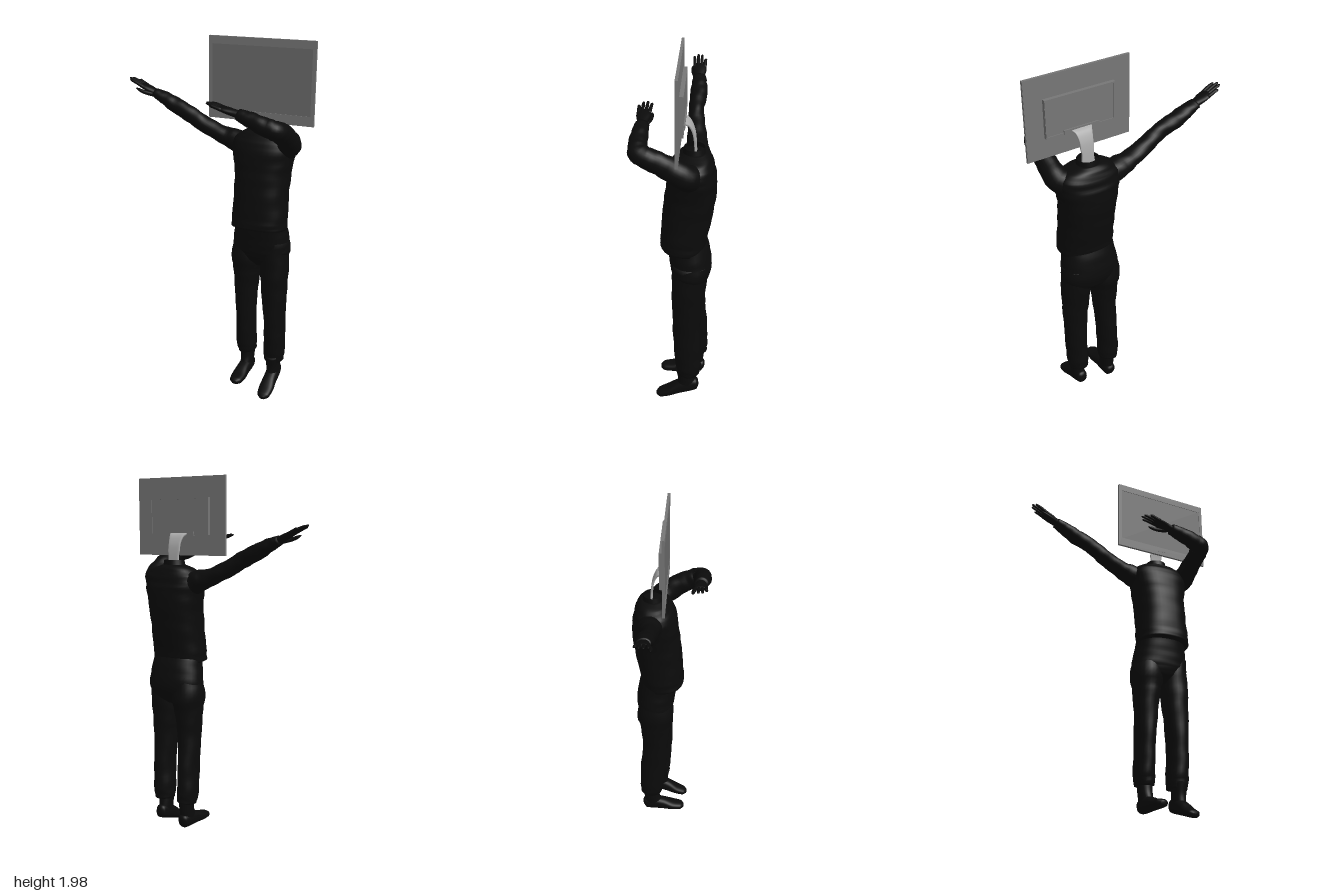
import * as THREE from 'three';

const mat = (color) => new THREE.MeshStandardMaterial({ color, roughness: 0.8 });
const V = (x, y, z) => new THREE.Vector3(x, y, z);
const UP = V(0, 1, 0), FRONT = V(0, 0, 1);

// Smooth solid through sections [x, y, z, halfWidth, halfDepth]; ref steers halfDepth,
// square < 1 makes the cross-section boxier, fold adds soft cloth creases.
function loft(sections, { ref = UP, sides = 28, steps = 6, square = 1, fold = 0 } = {}) {
  const path = new THREE.CatmullRomCurve3(sections.map((s) => V(s[0], s[1], s[2])));
  const radii = new THREE.CatmullRomCurve3(sections.map((s) => V(s[3], s[4], 0)));
  const rings = (sections.length - 1) * steps;
  const pos = [], index = [];
  const bend = (v) => Math.sign(v) * Math.abs(v) ** square;
  for (let i = 0; i <= rings; i++) {
    const u = i / rings;
    const c = path.getPoint(u), r = radii.getPoint(u), t = path.getTangent(u);
    const side = ref.clone().cross(t).normalize();
    const depth = t.clone().cross(side);
    for (let j = 0; j < sides; j++) {
      const a = (j / sides) * Math.PI * 2;
      const k = 1 + fold * Math.sin(i * 1.25 + 1.6 * Math.sin(a + 0.7)) * Math.sin(a * 2 + i * 0.3);
      const p = c.clone()
        .addScaledVector(side, bend(Math.cos(a)) * r.x * k)
        .addScaledVector(depth, bend(Math.sin(a)) * r.y * k);
      pos.push(p.x, p.y, p.z);
      if (i < rings) {
        const n = (j + 1) % sides, b = i * sides;
        index.push(b + j, b + n, b + sides + n, b + j, b + sides + n, b + sides + j);
      }
    }
  }
  // end caps
  const first = path.getPoint(0), last = path.getPoint(1), m = pos.length / 3;
  pos.push(first.x, first.y, first.z, last.x, last.y, last.z);
  for (let j = 0; j < sides; j++) {
    const n = (j + 1) % sides, b = rings * sides;
    index.push(m, n, j, m + 1, b + j, b + n);
  }
  const g = new THREE.BufferGeometry();
  g.setAttribute('position', new THREE.Float32BufferAttribute(pos, 3));
  g.setIndex(index);
  g.computeVertexNormals();
  return g;
}

export function createModel() {
  const model = new THREE.Group();
  const cloth = mat(0x0b0b0b), skin = mat(0x0b0b0b);
  const casing = mat(0x777777), glass = mat(0x6c6c6c), metal = mat(0xaaaaaa);

  const add = (name, geometry, material, parent = model) => {
    const mesh = new THREE.Mesh(geometry, material);
    mesh.name = name;
    parent.add(mesh);
    return mesh;
  };
  const box = (name, w, h, d, x, y, z, material, parent) =>
    add(name, new THREE.BoxGeometry(w, h, d), material, parent).position.set(x, y, z);

  // jacket
  add('jacket', loft([
    [0.257, 1.0, -0.045, 0.15, 0.118], [0.257, 1.06, -0.052, 0.15, 0.12],
    [0.257, 1.2, -0.07, 0.145, 0.128], [0.257, 1.32, -0.086, 0.152, 0.128],
    [0.257, 1.42, -0.092, 0.17, 0.12], [0.257, 1.475, -0.1, 0.165, 0.1],
    [0.256, 1.51, -0.103, 0.12, 0.08], [0.256, 1.53, -0.103, 0.06, 0.055],
  ], { ref: FRONT, sides: 40, square: 0.85, fold: 0.014 }), cloth);
  const collar = add('collar', new THREE.CylinderGeometry(0.056, 0.066, 0.05, 32, 1, true),
    new THREE.MeshStandardMaterial({ color: 0x0b0b0b, roughness: 0.8, side: THREE.DoubleSide }));
  collar.position.set(0.256, 1.53, -0.1);
  collar.scale.z = 0.92;

  // trousers
  add('trouserSeat', loft([
    [0.257, 1.04, -0.06, 0.138, 0.1], [0.257, 0.95, -0.08, 0.152, 0.108],
    [0.257, 0.87, -0.09, 0.162, 0.108], [0.259, 0.81, -0.088, 0.145, 0.09],
    [0.26, 0.77, -0.085, 0.09, 0.05],
  ], { ref: FRONT, sides: 36, square: 0.9, fold: 0.01 }), cloth);
  add('rightTrouserLeg', loft([
    [0.18, 0.92, -0.09, 0.078, 0.09], [0.175, 0.75, -0.09, 0.078, 0.09],
    [0.17, 0.6, -0.09, 0.063, 0.075], [0.167, 0.4, -0.105, 0.054, 0.075],
    [0.167, 0.26, -0.115, 0.057, 0.07], [0.172, 0.205, -0.12, 0.052, 0.062],
  ], { ref: FRONT, fold: 0.03 }), cloth);
  add('leftTrouserLeg', loft([
    [0.335, 0.92, -0.085, 0.078, 0.09], [0.34, 0.75, -0.076, 0.078, 0.085],
    [0.345, 0.6, -0.07, 0.069, 0.075], [0.352, 0.4, -0.075, 0.058, 0.073],
    [0.35, 0.26, -0.082, 0.06, 0.07], [0.348, 0.195, -0.085, 0.055, 0.06],
  ], { ref: FRONT, fold: 0.03 }), cloth);

  // shoes, modelled with the sole on y = 0 and the heel at z = 0
  const shoe = (name, x, y, z, pitch) => {
    const foot = new THREE.Group();
    foot.name = name;
    foot.position.set(x, y, z);
    foot.rotation.x = pitch;
    add('shoeUpper', loft([
      [0, 0.035, 0, 0.014, 0.018], [0, 0.038, 0.012, 0.03, 0.036], [0, 0.042, 0.06, 0.036, 0.042],
      [0, 0.036, 0.12, 0.037, 0.036], [0, 0.025, 0.18, 0.041, 0.025],
      [0, 0.02, 0.23, 0.034, 0.02], [0, 0.018, 0.25, 0.014, 0.01],
    ], { square: 0.8 }), cloth, foot);
    add('ankle', loft([
      [0, 0.17, 0.045, 0.043, 0.047], [0, 0.1, 0.052, 0.038, 0.047], [0, 0.04, 0.065, 0.034, 0.055],
    ], { ref: FRONT }), cloth, foot);
    model.add(foot);
  };
  shoe('rightShoe', 0.174, 0.06, -0.168, 0);
  shoe('leftShoe', 0.35, 0.084, -0.15, 0.29);

  // sleeves
  add('rightSleeve', loft([
    [0.17, 1.42, -0.105, 0.068, 0.068], [0.09, 1.445, -0.108, 0.063, 0.06],
    [0.01, 1.47, -0.105, 0.053, 0.046], [-0.1, 1.52, -0.096, 0.046, 0.044],
    [-0.18, 1.565, -0.092, 0.04, 0.044], [-0.27, 1.605, -0.1, 0.046, 0.042],
    [-0.34, 1.64, -0.101, 0.042, 0.034], [-0.395, 1.663, -0.1, 0.035, 0.025],
  ], { fold: 0.045 }), cloth);
  add('leftSleeve', loft([
    [0.35, 1.43, -0.115, 0.06, 0.07], [0.405, 1.465, -0.06, 0.064, 0.065],
    [0.42, 1.525, 0.03, 0.05, 0.058], [0.42, 1.562, 0.105, 0.05, 0.054],
    [0.408, 1.583, 0.152, 0.054, 0.05], [0.36, 1.6, 0.165, 0.047, 0.047],
    [0.28, 1.628, 0.162, 0.042, 0.04], [0.215, 1.647, 0.157, 0.035, 0.03],
  ], { fold: 0.045 }), cloth);

  // hands held palm down; thumb is the z side it grows on
  const hand = (name, wrist, tip, thumb) => {
    const group = new THREE.Group();
    group.name = name;
    const at = (f, y, z, a, b) => {
      const p = wrist.clone().lerp(tip, f);
      return [p.x, p.y + y, p.z + z, a, b];
    };
    add('palm', loft([
      at(-0.1, 0, 0, 0.024, 0.02), at(0.15, 0, 0, 0.028, 0.019), at(0.4, 0, 0, 0.037, 0.016),
      at(0.56, 0, 0, 0.034, 0.012), at(0.6, 0, 0, 0.022, 0.006),
    ]), skin, group);
    [0.92, 1, 0.97, 0.82].forEach((reach, i) => {
      const z = thumb * (0.028 - i * 0.019);
      add('finger', loft([
        at(0.48, 0, z * 0.92, 0.01, 0.01), at(0.75, 0.002, z * 1.05, 0.0085, 0.0085),
        at(reach - 0.04, 0, z * 1.12, 0.007, 0.006), at(reach, 0, z * 1.12, 0.003, 0.002),
      ], { sides: 10, steps: 4 }), skin, group);
    });
    add('thumb', loft([
      at(0.12, -0.008, thumb * 0.016, 0.013, 0.013), at(0.4, -0.02, thumb * 0.034, 0.011, 0.011),
      at(0.6, -0.024, thumb * 0.038, 0.009, 0.008), at(0.69, -0.024, thumb * 0.038, 0.003, 0.003),
    ], { sides: 10, steps: 4 }), skin, group);
    model.add(group);
  };
  hand('rightHand', V(-0.37, 1.653, -0.1), V(-0.547, 1.737, -0.098), 1);
  hand('leftHand', V(0.22, 1.646, 0.157), V(0.035, 1.692, 0.153), -1);

  // flat display in place of a head
  const display = new THREE.Group();
  display.name = 'displayHead';
  model.add(display);
  const rect = (target, x0, y0, x1, y1) => {
    target.moveTo(x0, y0).lineTo(x1, y0).lineTo(x1, y1).lineTo(x0, y1).closePath();
    return target;
  };
  const frame = rect(new THREE.Shape(), -0.031, 1.578, 0.545, 2.0);
  frame.holes.push(rect(new THREE.Path(), -0.012, 1.628, 0.526, 1.96));
  add('bezel', new THREE.ExtrudeGeometry(frame, { depth: 0.012, bevelEnabled: false }), casing, display)
    .position.z = -0.033;
  box('screen', 0.55, 0.35, 0.006, 0.257, 1.794, -0.027, glass, display);
  box('displayBack', 0.574, 0.42, 0.003, 0.257, 1.789, -0.0335, casing, display);
  box('rearHousing', 0.385, 0.2, 0.016, 0.257, 1.788, -0.043, casing, display);
  for (const s of [-1, 1]) {
    box('housingRim', 0.008, 0.2, 0.005, 0.257 + s * 0.188, 1.788, -0.0525, casing, display);
    box('housingRim', 0.385, 0.008, 0.005, 0.257, 1.788 + s * 0.096, -0.0525, casing, display);
  }
  box('standMount', 0.195, 0.022, 0.016, 0.257, 1.697, -0.05, casing, display);
  for (let i = -1; i <= 1; i++) box('button', 0.012, 0.004, 0.002, 0.257 + i * 0.02, 1.602, -0.0205, glass, display);

  // curved stand that acts as the neck
  add('standNeck', loft([
    [0.257, 1.697, -0.05, 0.06, 0.006], [0.257, 1.683, -0.073, 0.046, 0.006],
    [0.257, 1.645, -0.093, 0.038, 0.006], [0.257, 1.6, -0.102, 0.037, 0.006],
    [0.257, 1.52, -0.107, 0.037, 0.006],
  ], { ref: FRONT, square: 0.35 }), metal, display);

  return model;
}
